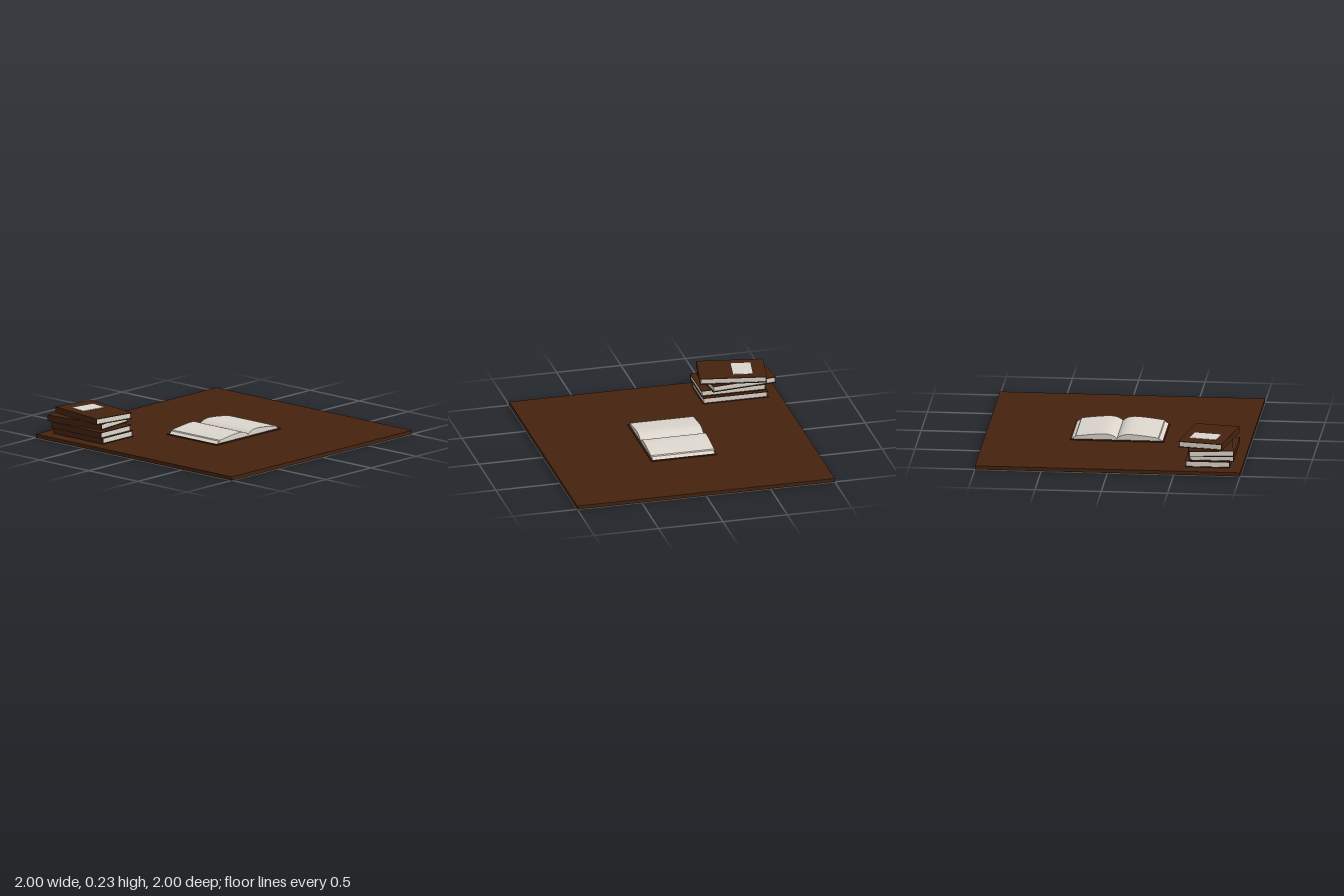
import * as THREE from 'three';
import { toCreasedNormals } from 'three/addons/utils/BufferGeometryUtils.js';

export function createModel() {
  const brown = new THREE.MeshStandardMaterial({ color: 0x45230f });
  brown.name = 'dark brown';
  const paper = new THREE.MeshStandardMaterial({ color: 0xdcd6cd });
  paper.name = 'paper';

  const model = new THREE.Group();
  model.name = 'deskWithBooks';

  function box(parent, name, mat, size, pos) {
    const mesh = new THREE.Mesh(new THREE.BoxGeometry(...size), mat);
    mesh.position.set(...pos);
    mesh.name = name;
    parent.add(mesh);
    return mesh;
  }

  // Table top
  box(model, 'tableTop', brown, [2, 0.028, 2], [0, 0.014, 0]);

  // Closed book: two boards, a spine on +z and a recessed page block
  const W = 0.505, D = 0.338, H = 0.047, T = 0.005;
  function closedBook(name, x, y, z, turn) {
    const book = new THREE.Group();
    book.name = name;
    box(book, 'lowerCover', brown, [W, T, D], [0, T / 2, 0]);
    box(book, 'upperCover', brown, [W, T, D], [0, H - T / 2, 0]);
    box(book, 'spine', brown, [W, H - 2 * T, T], [0, H / 2, D / 2 - T / 2]);
    box(book, 'pageBlock', paper, [W - 0.016, H - 2 * T, D - 0.008 - T], [0, H / 2, 0.004 - T / 2]);
    book.position.set(x, y, z);
    book.rotation.y = turn;
    model.add(book);
    return book;
  }

  // Stack, bottom to top: x, z, turn
  const stack = [
    [-0.647, 0.743, 0],
    [-0.64, 0.772, 0],
    [-0.7, 0.748, 0.11],
    [-0.656, 0.732, -0.17],
  ];
  let topBook;
  stack.forEach(([x, z, turn], i) => {
    topBook = closedBook('stackedBook' + (i + 1), x, 0.033 + i * 0.0487, z, turn);
  });

  // Paper label on the top book
  box(topBook, 'label', paper, [0.148, 0.003, 0.206], [-0.076, H + 0.0015, -0.005]);

  // Open book with its gutter along x
  const openBook = new THREE.Group();
  openBook.name = 'openBook';
  model.add(openBook);
  box(openBook, 'openCover', brown, [0.506, 0.008, 0.71], [0, 0.034, 0]);

  // Curved page layer: top points run from gutter to outer edge as [distance, height]
  function pageLayer(name, side, width, top, base, foot) {
    const curve = new THREE.SplineCurve(top.map(([d, h]) => new THREE.Vector2(side * d, h)));
    const shape = new THREE.Shape([
      new THREE.Vector2(0, base),
      ...curve.getPoints(28),
      new THREE.Vector2(side * foot, base),
    ]);
    const geo = new THREE.ExtrudeGeometry(shape, { depth: width, bevelEnabled: false });
    geo.translate(0, 0, -width / 2);
    geo.rotateY(-Math.PI / 2);
    const mesh = new THREE.Mesh(toCreasedNormals(geo, 0.6), paper);
    mesh.name = name;
    openBook.add(mesh);
    return mesh;
  }

  for (const side of [1, -1]) {
    const name = side > 0 ? 'front' : 'back';
    pageLayer(name + 'LowerPages', side, 0.482, [
      [0, 0.045], [0.04, 0.055], [0.12, 0.06], [0.24, 0.058], [0.318, 0.054],
    ], 0.038, 0.342);
    pageLayer(name + 'UpperPages', side, 0.492, [
      [0, 0.05], [0.02, 0.066], [0.05, 0.078], [0.1, 0.084], [0.2, 0.076], [0.312, 0.062],
    ], 0.046, 0.322);
  }

  return model;
}
